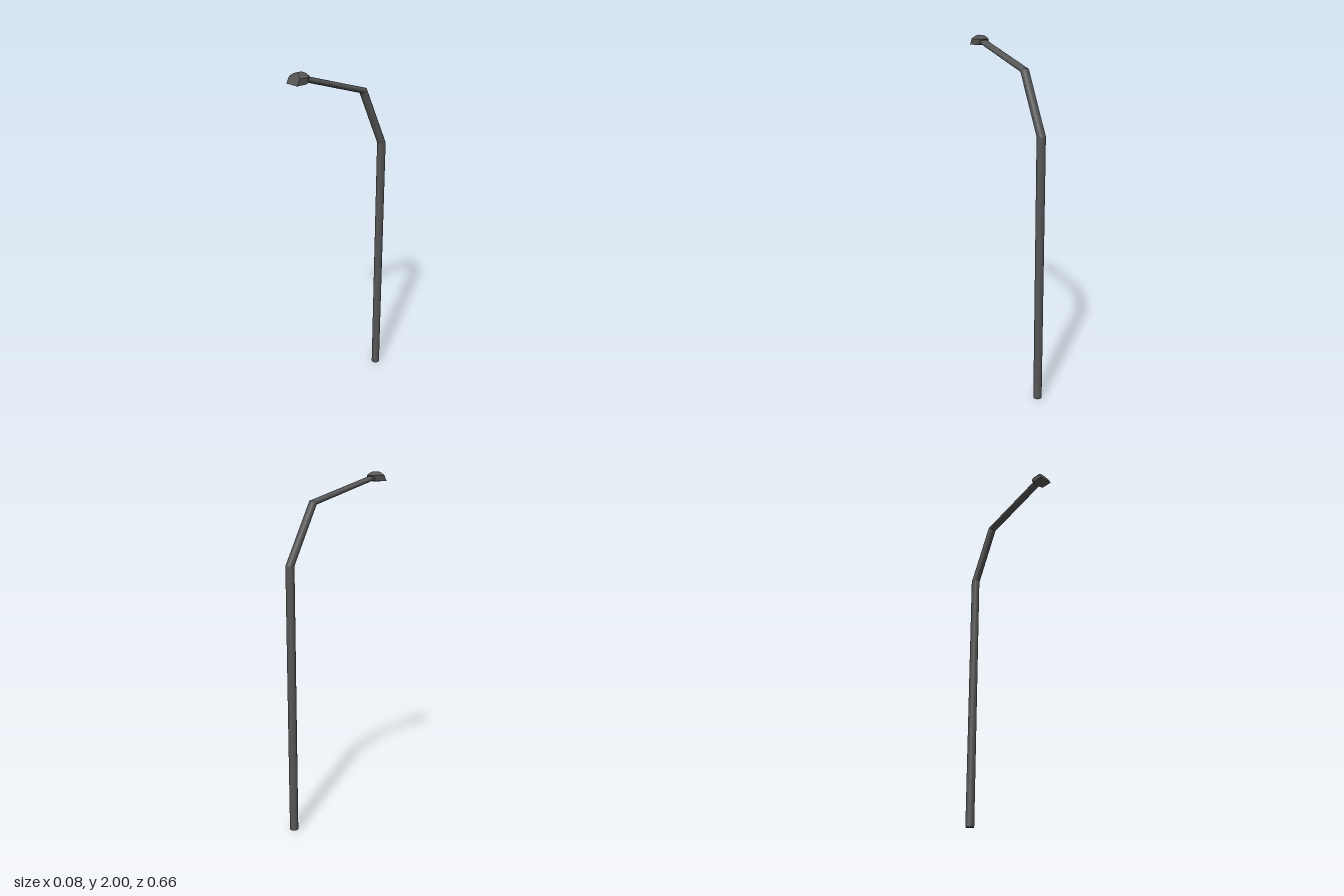
import * as THREE from 'three';
import { toCreasedNormals } from 'three/addons/utils/BufferGeometryUtils.js';

// Skin closed rings of points (counter-clockwise from above, listed bottom to top), capping both ends
function loft(rings) {
  const out = [];
  const tri = (...pts) => pts.forEach((p) => out.push(p.x, p.y, p.z));
  const n = rings[0].length;
  const middle = (ring) => ring.reduce((s, p) => s.add(p), new THREE.Vector3()).divideScalar(n);
  const first = rings[0], last = rings[rings.length - 1];
  const low = middle(first), high = middle(last);
  for (let j = 0; j < n; j++) {
    const k = (j + 1) % n;
    tri(low, first[k], first[j]);
    tri(high, last[j], last[k]);
    for (let i = 0; i < rings.length - 1; i++) {
      const a = rings[i], b = rings[i + 1];
      tri(a[j], a[k], b[k]);
      tri(a[j], b[k], b[j]);
    }
  }
  const geo = new THREE.BufferGeometry();
  geo.setAttribute('position', new THREE.Float32BufferAttribute(out, 3));
  return toCreasedNormals(geo, 0.35);
}

// Pole ring: constant width in x, spanning from an inner (front) to an outer (back) point in the yz plane
function poleRing([innerZ, innerY, outerZ, outerY]) {
  return Array.from({ length: 24 }, (_, j) => {
    const a = (j / 24) * Math.PI * 2;
    const t = (1 + Math.sin(a)) / 2;
    return new THREE.Vector3(
      0.024 * Math.cos(a),
      THREE.MathUtils.lerp(innerY, outerY, t),
      THREE.MathUtils.lerp(innerZ, outerZ, t)
    );
  });
}

// Head ring: U-shaped outline with a rounded back and a raked straight front
function headRing(halfWidth, backDepth, y) {
  const front = 0.33 - (y - 1.947) * 0.55;
  const ring = [new THREE.Vector3(halfWidth, y, front)];
  for (let j = 0; j <= 16; j++) {
    const a = (j / 16) * Math.PI;
    ring.push(new THREE.Vector3(halfWidth * Math.cos(a), y, 0.271 - backDepth * Math.sin(a)));
  }
  ring.push(new THREE.Vector3(-halfWidth, y, front));
  return ring;
}

export function createModel() {
  const group = new THREE.Group();
  const material = new THREE.MeshStandardMaterial({ color: 0x555555 });
  const add = (name, rings) => {
    const mesh = new THREE.Mesh(loft(rings), material);
    mesh.name = name;
    group.add(mesh);
  };

  // Upright pole with two bends reaching forward
  add('pole', [
    [-0.283, 0, -0.331, 0],
    [-0.283, 1.513, -0.331, 1.513],
    [-0.137, 1.824, -0.171, 1.846],
    [0.255, 1.949, 0.245, 1.977],
  ].map(poleRing));

  // Lamp head: tapered underside at the back, shallow domed top
  const rings = [headRing(0.04, 0.017, 1.947), headRing(0.04, 0.042, 1.978)];
  for (let i = 5; i >= 0; i--) {
    const s = i / 6;
    rings.push(headRing(0.04 * s, 0.042 * s, 2 - 0.022 * s * s));
  }
  add('lampHead', rings);

  return group;
}
